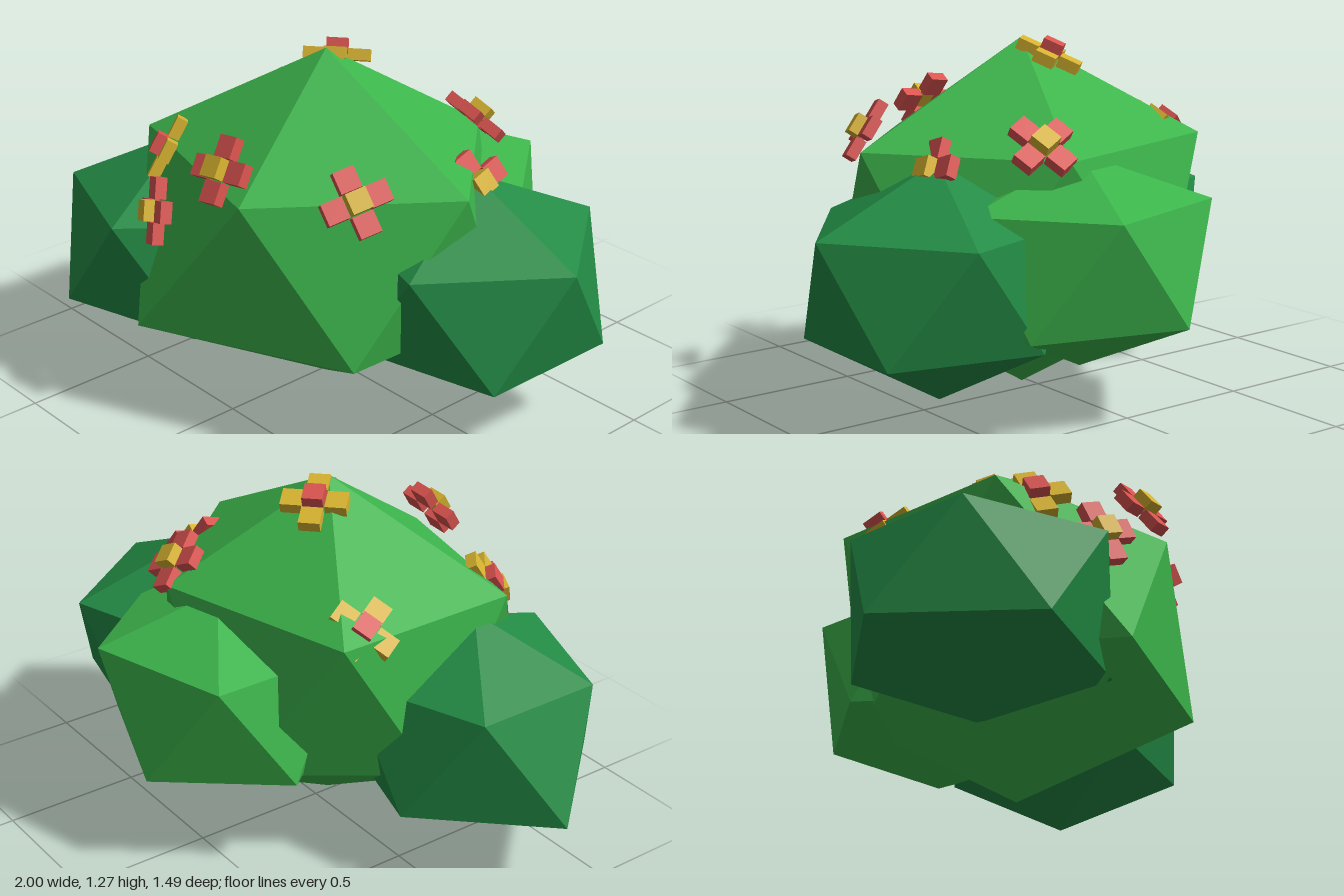
import * as THREE from 'three';

const flat = (name, color) => {
  const m = new THREE.MeshStandardMaterial({ color, flatShading: true });
  m.name = name;
  return m;
};

// Faceted leaf clump: apex, two staggered rings of five corners, base point.
// "corners" moves single ring corners (u0-u4 upper, l0-l4 lower) off the regular shape.
function clump(name, material, { x, z, rx, rz, ys, corners = {} }) {
  const [baseY, lowY, highY, apexY] = ys;
  const ring = (key, y, offset) => Array.from({ length: 5 }, (_, i) => {
    const a = (i * 72 + offset) * Math.PI / 180;
    return corners[key + i] || [x + rx * Math.cos(a), y, z + rz * Math.sin(a)];
  });
  const upper = ring('u', highY, 0);
  const lower = ring('l', lowY, 36);
  const apex = [x, apexY, z];
  const base = [x, baseY, z];
  const points = [];
  for (let i = 0; i < 5; i++) {
    const j = (i + 1) % 5;
    points.push(apex, upper[j], upper[i]);
    points.push(upper[i], upper[j], lower[i]);
    points.push(lower[i], upper[j], lower[j]);
    points.push(base, lower[i], lower[j]);
  }
  const geometry = new THREE.BufferGeometry();
  geometry.setAttribute('position', new THREE.Float32BufferAttribute(points.flat(), 3));
  geometry.computeVertexNormals();
  const mesh = new THREE.Mesh(geometry, material);
  mesh.name = name;
  return mesh;
}

// Block flower: four square petals around a raised middle, facing along "normal".
const petalGeometry = new THREE.BoxGeometry(0.075, 0.075, 0.04);
const middleGeometry = new THREE.BoxGeometry(0.072, 0.072, 0.05);

function flower(position, normal, spin, petalMaterial, middleMaterial) {
  const group = new THREE.Group();
  group.name = 'flower';
  group.position.set(...position);
  group.lookAt(new THREE.Vector3(...position).add(new THREE.Vector3(...normal)));
  group.rotateZ(spin);
  for (let i = 0; i < 4; i++) {
    const a = i * Math.PI / 2;
    const petal = new THREE.Mesh(petalGeometry, petalMaterial);
    petal.name = 'petal';
    petal.position.set(0.078 * Math.cos(a), 0.078 * Math.sin(a), 0);
    group.add(petal);
  }
  const middle = new THREE.Mesh(middleGeometry, middleMaterial);
  middle.name = 'flowerMiddle';
  middle.position.z = 0.03;
  group.add(middle);
  return group;
}

export function createModel() {
  const lightLeaf = flat('lightLeaf', 0x3cb44b);
  const darkLeaf = flat('darkLeaf', 0x238b45);
  const red = flat('red', 0xd9534f);
  const yellow = flat('yellow', 0xd6b22f);

  const bush = new THREE.Group();
  bush.name = 'floweringBush';

  // Leaf clumps
  bush.add(
    clump('mainClump', lightLeaf, {
      x: 0.02, z: 0.07, rx: 0.67, rz: 0.57, ys: [0, 0.35, 0.91, 1.26],
      corners: {
        u0: [0.7, 0.92, 0.06], u1: [0.2, 0.89, 0.61], u2: [-0.52, 0.91, 0.43],
        l0: [0.57, 0.37, 0.44], l1: [-0.21, 0.34, 0.74], l2: [-0.58, 0.35, 0.07],
      },
    }),
    clump('rightClump', darkLeaf, {
      x: -0.48, z: 0.32, rx: 0.47, rz: 0.44, ys: [0.07, 0.27, 0.66, 0.86],
      corners: {
        u1: [-0.33, 0.67, 0.745], u2: [-0.83, 0.66, 0.56], u3: [-0.83, 0.66, 0.08],
        l1: [-0.63, 0.28, 0.745], l2: [-1, 0.26, 0.32],
      },
    }),
    clump('leftClump', darkLeaf, {
      x: 0.53, z: -0.14, rx: 0.47, rz: 0.46, ys: [0.08, 0.305, 0.69, 0.9],
      corners: { l0: [0.9, 0.3, 0.12], l1: [0.38, 0.31, 0.26], l3: [0.38, 0.3, -0.53] },
    }),
    clump('backClump', lightLeaf, {
      x: 0.09, z: -0.35, rx: 0.465, rz: 0.42, ys: [0.17, 0.36, 0.75, 0.91],
      corners: { l4: [0.46, 0.35, -0.56] },
    }),
  );

  // Red flowers with yellow middles: position, facing, spin
  const redFlowers = [
    [[0.085, 0.98, 0.585], [0, 0.56, 0.82], 0.15],
    [[-0.215, 0.745, 0.635], [-0.38, 0.2, 0.9], 0.35],
    [[0.49, 0.935, 0.36], [0.72, 0.55, 0.4], 0.3],
    [[0.285, 0.96, -0.395], [0.2, 0.7, -0.65], 0.65],
    [[0.545, 0.865, -0.14], [0.85, 0.45, 0.1], 0.35],
  ];
  for (const f of redFlowers) bush.add(flower(...f, red, yellow));

  // Yellow flowers with red middles
  const yellowFlowers = [
    [[-0.36, 0.885, 0.47], [-0.6, 0.45, 0.6], 0.3],
    [[-0.46, 0.925, -0.14], [-0.65, 0.72, -0.2], 0.75],
    [[-0.03, 1.2, -0.025], [-0.25, 0.9, -0.3], 0.05],
  ];
  for (const f of yellowFlowers) bush.add(flower(...f, yellow, red));

  return bush;
}
